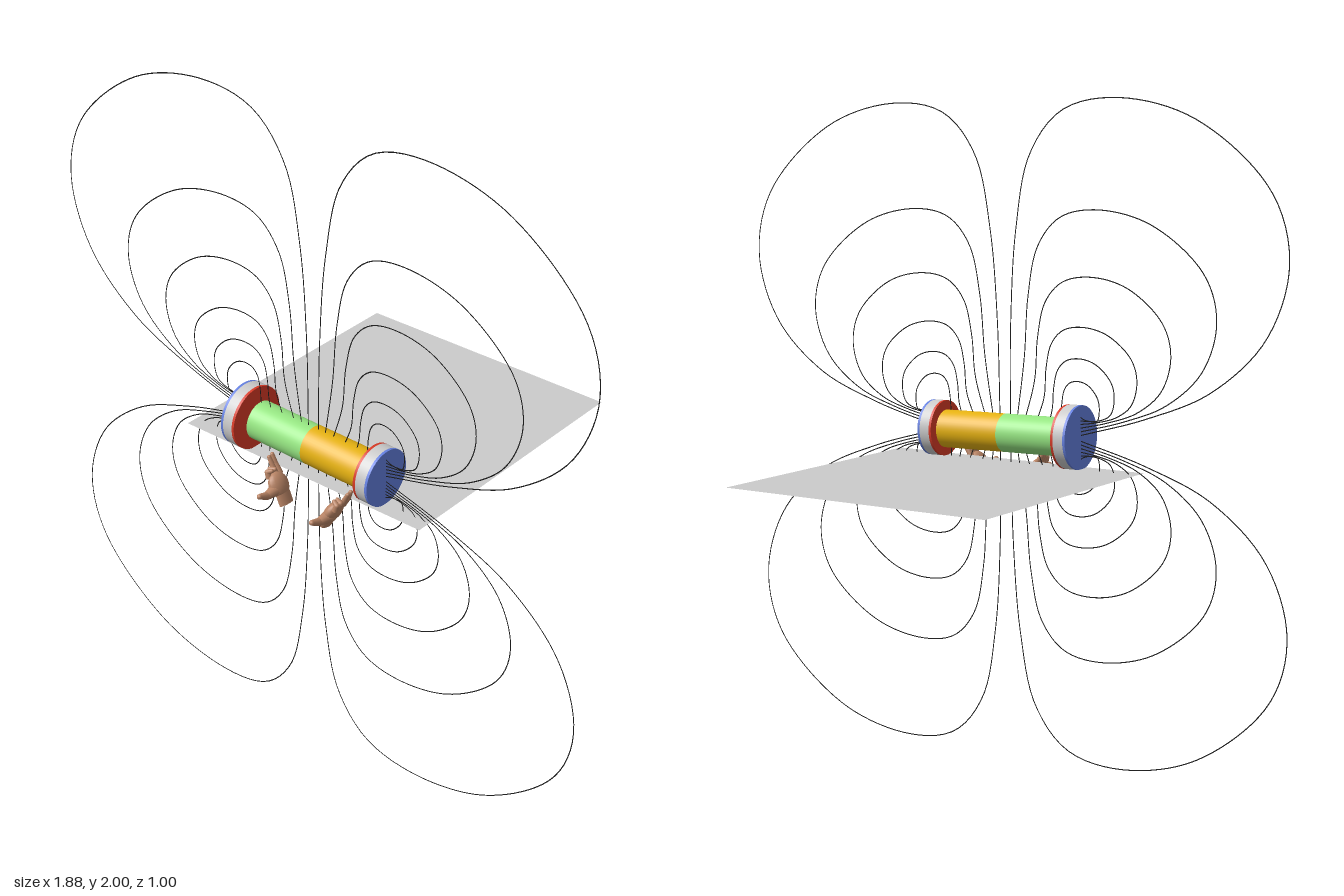
import * as THREE from 'three';

const mat = (color, side = THREE.FrontSide) => new THREE.MeshStandardMaterial({ color, side });
const V = (x, y, z = 0) => new THREE.Vector3(x, y, z);

function add(parent, name, geometry, material) {
  const mesh = new THREE.Mesh(geometry, material);
  mesh.name = name;
  parent.add(mesh);
  return mesh;
}

// Cylinder lying along x, from x0 to x1
function rod(parent, name, x0, x1, radius, material) {
  const geometry = new THREE.CylinderGeometry(radius, radius, x1 - x0, 48);
  geometry.rotateZ(-Math.PI / 2);
  geometry.translate((x0 + x1) / 2, 0, 0);
  return add(parent, name, geometry, material);
}

// Round pole plate: red inner face, grey rim, blue outer face
function polePlate(name, side, radius, mats) {
  const plate = new THREE.Group();
  plate.name = name;
  const layers = [['innerFace', 0.213, 0.221, mats.red], ['rim', 0.221, 0.254, mats.grey], ['outerFace', 0.254, 0.262, mats.blue]];
  for (const [part, a, b, material] of layers) {
    rod(plate, part, Math.min(side * a, side * b), Math.max(side * a, side * b), radius, material);
  }
  return plate;
}

// One quadrant loop: rises beside the centre, arcs outward, returns to the plate
function fieldLine({ start, inner, top, height, reach, end }) {
  const mix = (a, b, t) => a + (b - a) * t;
  const points = [
    V(start, 0.03), V(inner, 0.35 * height), V(mix(inner, top, 0.06), 0.62 * height),
    V(mix(inner, top, 0.2), 0.84 * height), V(mix(inner, top, 0.5), 0.965 * height), V(top, height),
    V(mix(top, reach, 0.47), 0.935 * height), V(mix(top, reach, 0.9), 0.73 * height),
    V(reach, 0.53 * height), V(mix(0.25, reach, 0.9), 0.32 * height),
    V(mix(0.25, reach, 0.65), 0.157 * height + end * 0.4),
    V(mix(0.25, reach, 0.34), 0.065 * height + end * 0.7), V(0.26, end),
  ];
  const geometry = new THREE.TubeGeometry(new THREE.CatmullRomCurve3(points), 90, 0.0016, 4);
  geometry.scale(1, 1, 0.1); // flat strip
  return geometry;
}

// Tapered finger segment with a rounded tip
function finger(parent, name, a, b, r0, r1, material) {
  const dir = b.clone().sub(a);
  const turn = new THREE.Quaternion().setFromUnitVectors(V(0, 1, 0), dir.clone().normalize());
  const shaft = add(parent, name, new THREE.CylinderGeometry(r1, r0, dir.length(), 12), material);
  shaft.position.copy(a).lerp(b, 0.5);
  shaft.quaternion.copy(turn);
  const tip = add(parent, name + 'Tip', new THREE.SphereGeometry(r1, 12, 8), material);
  tip.position.copy(b);
}

// Hand with raised fingers and the thumb toward the front; mirror flips it in x
function hand(name, mirror, material) {
  const group = new THREE.Group();
  group.name = name;
  const mx = (x, y, z) => V(mirror ? 0.085 - x : x, y, z);
  const palm = add(group, 'palm', new THREE.SphereGeometry(1, 20, 14), material);
  palm.scale.set(0.02, 0.038, 0.034);
  palm.rotation.z = mirror ? -0.5 : 0.5;
  palm.position.copy(mx(-0.06, 0.886, 0.412));
  // Wrist is flattened in x, so it is wide from front to back
  const wrist = add(group, 'wrist', new THREE.CylinderGeometry(1, 1, 1, 20), material);
  wrist.scale.set(0.013, 0.05, 0.025);
  wrist.rotation.z = mirror ? -0.42 : 0.42;
  wrist.position.copy(mx(-0.043, 0.857, 0.411));
  finger(group, 'thumbBase', mx(-0.058, 0.878, 0.42), mx(-0.056, 0.876, 0.464), 0.02, 0.012, material);
  finger(group, 'thumb', mx(-0.056, 0.876, 0.464), mx(-0.056, 0.888, 0.494), 0.012, 0.008, material);
  for (let i = 0; i < 4; i++) {
    const z = 0.388 + i * 0.013;
    const knuckle = mx(-0.076 - i * 0.002, 0.905, z);
    const joint = mx(-0.094 + i * 0.002, 0.932 - i * 0.003, z);
    finger(group, 'fingerBase', knuckle, joint, 0.0095, 0.008, material);
    const tip = i < 2 ? mx(-0.105, 0.957 - i * 0.003, z) : mx(-0.075, 0.93, z - 0.004);
    finger(group, 'finger', joint, tip, 0.008, 0.006, material);
  }
  return group;
}

export function createModel() {
  const model = new THREE.Group();
  model.name = 'magneticFieldModel';
  const mats = { red: mat(0xd83a26), grey: mat(0xcccccc), blue: mat(0x6480e0) };
  const lineMat = mat(0x1c1c1c, THREE.DoubleSide);
  const skin = mat(0xb98465);

  // Slightly tilted assembly of bar, plates and field lines
  const assembly = new THREE.Group();
  assembly.name = 'barMagnet';
  assembly.position.set(-0.002, 1.002, 0.328);
  assembly.rotation.set(0, 0.022, -0.02);
  model.add(assembly);

  // Two-colour bar with a thin core joining the plates
  rod(assembly, 'greenBarHalf', -0.2, 0, 0.058, mat(0x96e682));
  rod(assembly, 'yellowBarHalf', 0, 0.213, 0.058, mat(0xe6b212));
  rod(assembly, 'core', -0.218, -0.2, 0.03, mats.grey);

  const leftPlate = polePlate('plateNegativeX', -1, 0.096, mats);
  leftPlate.position.set(0, 0.002, 0.001);
  const rightPlate = polePlate('platePositiveX', 1, 0.085, mats);
  rightPlate.position.set(0, 0.002, -0.002);
  assembly.add(leftPlate, rightPlate);

  // Field lines: start, inner, top, height, reach for each nested loop
  const loops = [
    [0.018, 0.024, 0.38, 0.989, 0.926], [0.04, 0.07, 0.32, 0.67, 0.705], [0.065, 0.105, 0.3, 0.475, 0.56],
    [0.105, 0.137, 0.27, 0.328, 0.45], [0.15, 0.165, 0.26, 0.235, 0.375], [0.19, 0.195, 0.255, 0.168, 0.325],
  ];
  loops.forEach(([start, inner, top, height, reach], i) => {
    const geometry = fieldLine({ start, inner, top, height, reach, end: 0.008 + i * 0.011 });
    for (const sx of [-1, 1]) for (const sy of [-1, 1]) {
      add(assembly, 'fieldLine', geometry, lineMat).scale.set(sx, sy, 1);
    }
  });

  // Flat sheet below the bar
  const sheet = add(model, 'sheet', new THREE.PlaneGeometry(0.864, 0.862).rotateX(-Math.PI / 2), mat(0xcccccc, THREE.DoubleSide));
  sheet.position.set(-0.03, 0.915, -0.061);
  sheet.rotation.y = 0.022;

  model.add(hand('rightHand', false, skin), hand('leftHand', true, skin));
  return model;
}
